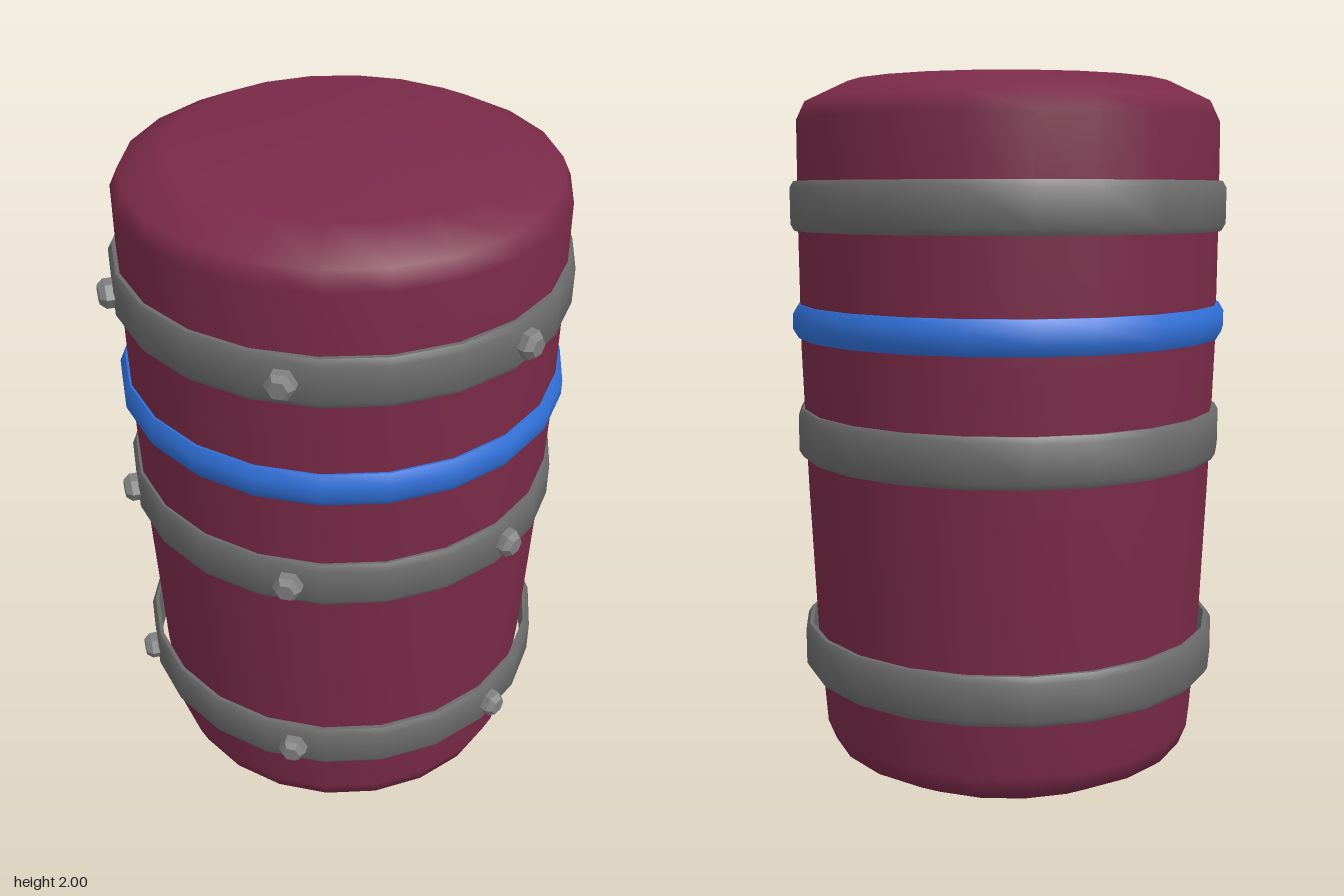
import * as THREE from 'three';
import { toCreasedNormals } from 'three/addons/utils/BufferGeometryUtils.js';

const SIDES = 22;
const mat = (color, flatShading = false) => new THREE.MeshStandardMaterial({ color, flatShading });

// Revolve [radius, y] pairs, with a flat facing the front
function revolve(points) {
  return new THREE.LatheGeometry(points.map(([r, y]) => new THREE.Vector2(r, y)), SIDES, Math.PI / SIDES);
}

// Closed ring with chamfered outer edges
function ring(name, y, height, outer, inner, bevel, material) {
  const h = height / 2;
  const geometry = revolve([
    [inner, -h], [outer - bevel * 0.6, -h], [outer, -h + bevel],
    [outer, h - bevel], [outer - bevel * 0.6, h], [inner, h], [inner, -h],
  ]);
  const mesh = new THREE.Mesh(toCreasedNormals(geometry, 0.75), material);
  mesh.name = name;
  mesh.position.y = y;
  return mesh;
}

export function createModel() {
  const model = new THREE.Group();
  model.name = 'barrel';
  const body = new THREE.Group();
  body.name = 'barrelBody';
  body.position.z = -0.022; // front bolts shift the centre back
  model.add(body);

  const maroon = mat(0x7a2a48);
  const steel = mat(0x6b6b6b);
  const boltSteel = mat(0x808080, true);

  // Tapered shell with softened rims and slightly domed ends
  const shell = new THREE.Mesh(revolve([
    [0, 0.003], [0.43, 0.018], [0.53, 0.072], [0.553, 0.13],
    [0.575, 0.42], [0.593, 0.85], [0.605, 1.25], [0.606, 1.6],
    [0.604, 1.88], [0.58, 1.93], [0.46, 1.987], [0, 2],
  ]), maroon);
  shell.name = 'shell';
  body.add(shell);

  // Accent stripe
  body.add(ring('accentBand', 1.323, 0.095, 0.627, 0.598, 0.026, mat(0x3070d8)));

  // Hexagonal bolt pointing along +z
  const boltGeometry = new THREE.LatheGeometry([
    [0, -0.045], [0.04, -0.045], [0.04, -0.017], [0.026, 0], [0, 0],
  ].map(([r, y]) => new THREE.Vector2(r, y)), 6, Math.PI / 2).rotateX(Math.PI / 2);

  // Steel hoops, each with three bolts across the front
  const hoops = [['lower', 0.366, 0.612, 0.59], ['middle', 1.003, 0.618, 0.592], ['upper', 1.645, 0.627, 0.6]];
  for (const [level, y, outer, inner] of hoops) {
    body.add(ring(level + 'Hoop', y, 0.138, outer, inner, 0.018, steel));
    for (const side of [-1, 0, 1]) {
      const angle = side * Math.PI / 3;
      const radius = outer + 0.036;
      const bolt = new THREE.Mesh(boltGeometry, boltSteel);
      bolt.name = level + 'Bolt' + ['Right', 'Center', 'Left'][side + 1];
      bolt.position.set(Math.sin(angle) * radius, y, Math.cos(angle) * radius);
      bolt.rotation.y = angle;
      body.add(bolt);
    }
  }
  return model;
}
